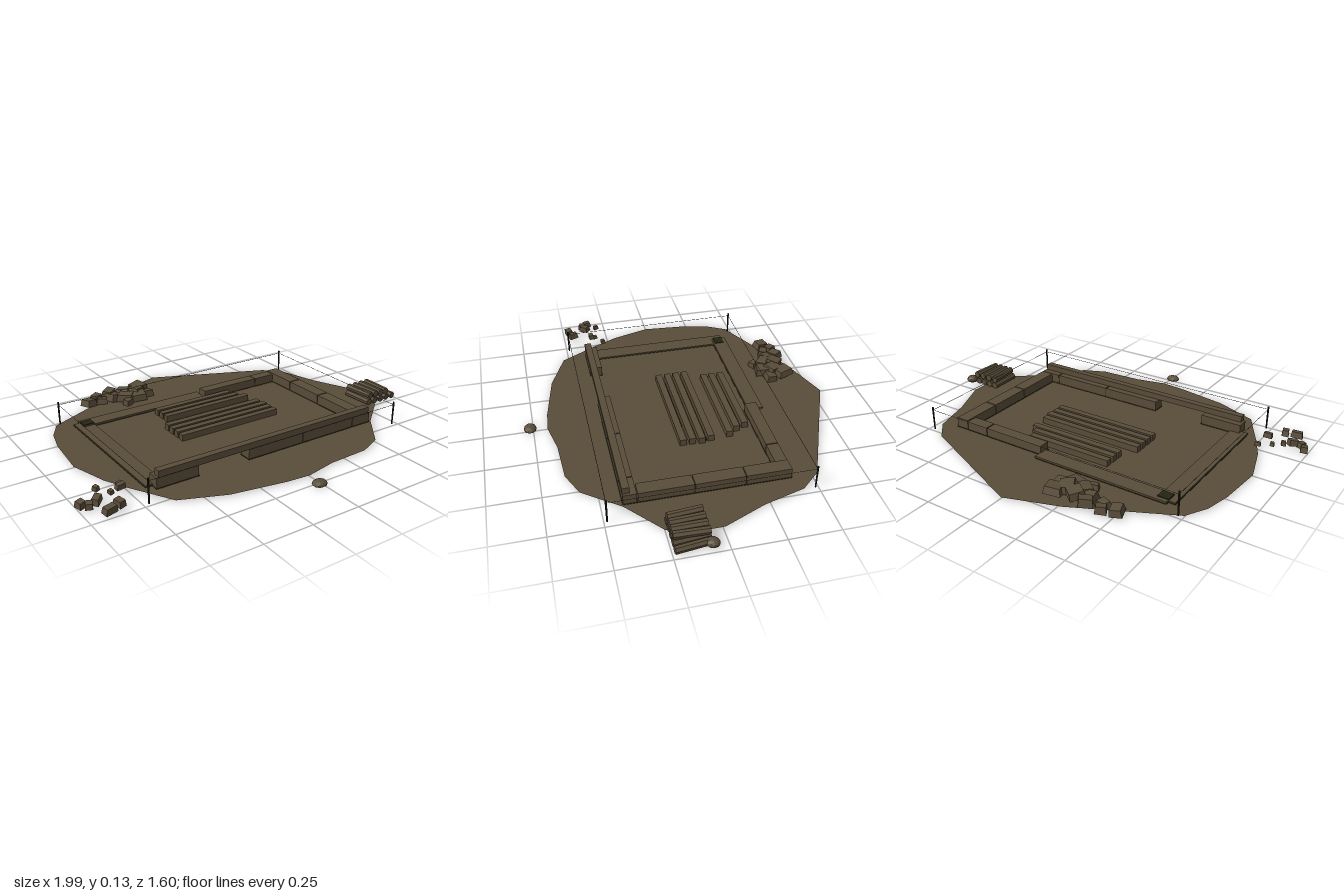
import * as THREE from 'three';

const earth = new THREE.MeshStandardMaterial({ color: 0x594c39, side: THREE.DoubleSide, flatShading: true });
earth.name = 'weatheredEarth';
const dark = new THREE.MeshStandardMaterial({ color: 0x232612, flatShading: true });
dark.name = 'darkMoss';
const cord = new THREE.MeshStandardMaterial({ color: 0x221e18, flatShading: true });
cord.name = 'darkCord';

export function createModel() {
  const model = new THREE.Group();
  model.name = 'excavatedFoundation';

  const group = (name) => {
    const g = new THREE.Group();
    g.name = name;
    model.add(g);
    return g;
  };
  const add = (parent, name, geo, mat, x = 0, y = 0, z = 0) => {
    const m = new THREE.Mesh(geo, mat);
    m.name = name;
    m.position.set(x, y, z);
    parent.add(m);
    return m;
  };
  // Box given by its limits on every axis
  const block = (parent, name, x0, x1, y0, y1, z0, z1, mat = earth) =>
    add(parent, name, new THREE.BoxGeometry(x1 - x0, y1 - y0, z1 - z0), mat,
      (x0 + x1) / 2, (y0 + y1) / 2, (z0 + z1) / 2);

  // Irregular sheet of bare ground
  const outline = [[0, -0.8], [0.63, -0.53], [0.72, -0.43], [0.78, -0.22], [0.87, -0.01], [0.87, 0.1],
    [0.83, 0.25], [0.65, 0.4], [0.58, 0.49], [0.51, 0.58], [0.385, 0.634], [0.165, 0.645], [0, 0.68],
    [-0.12, 0.67], [-0.4, 0.62], [-0.62, 0.53], [-0.74, 0.32], [-0.8, 0.2], [-0.86, 0], [-0.84, -0.24],
    [-0.81, -0.37], [-0.75, -0.475], [-0.27, -0.71]];
  const ground = new THREE.ShapeGeometry(new THREE.Shape(outline.map(([x, z]) => new THREE.Vector2(x, -z))));
  ground.rotateX(-Math.PI / 2);
  add(model, 'ground', ground, earth, 0, 0.003, 0);

  // Foundation walls on a dark bed, with a dark core showing in the joints
  const walls = group('foundationWalls');
  const bed = (x0, x1, z0, z1) =>
    block(walls, 'darkBed', x0 - 0.003, x1 + 0.003, 0, 0.005, z0 - 0.003, z1 + 0.003, dark);
  const core = (x0, x1, z0, z1, top) =>
    block(walls, 'darkCore', x0 + 0.004, x1 - 0.004, 0.004, top - 0.004, z0 + 0.004, z1 - 0.004, dark);

  bed(-0.64, -0.42, 0.335, 0.4);
  bed(-0.14, 0.635, 0.335, 0.4);
  core(-0.14, 0.635, 0.335, 0.4, 0.055);
  [[-0.64, -0.42], [-0.14, 0.184], [0.19, 0.514], [0.52, 0.635]].forEach(([a, b]) =>
    block(walls, 'frontWallBlock', a, b, 0.004, 0.055, 0.335, 0.4));

  bed(0.565, 0.635, -0.4, 0.333);
  core(0.565, 0.635, -0.4, 0.333, 0.055);
  [[-0.4, -0.18], [-0.174, 0.064], [0.07, 0.331]].forEach(([a, b]) =>
    block(walls, 'leftWallBlock', 0.565, 0.635, 0.004, 0.055, a, b));

  bed(0.085, 0.562, -0.4, -0.34);
  core(0.085, 0.562, -0.4, -0.34, 0.05);
  [[0.085, 0.429], [0.435, 0.561]].forEach(([a, b]) =>
    block(walls, 'backWallBlock', a, b, 0.004, 0.05, -0.4, -0.34));

  bed(-0.64, 0.082, -0.44, -0.36);
  block(walls, 'lowBackFooting', -0.64, 0.09, 0.004, 0.014, -0.44, -0.36);
  bed(-0.675, -0.585, -0.42, 0.36);
  block(walls, 'lowRightFooting', -0.675, -0.585, 0.004, 0.011, -0.42, 0.36);
  block(walls, 'cornerPatch', -0.642, -0.583, 0.01, 0.018, -0.42, -0.367, dark);
  block(walls, 'sillBeam', -0.63, 0.625, 0.058, 0.09, 0.366, 0.402);

  // Two sets of floor joists with dark soil in the gaps
  const joists = group('floorJoists');
  [[-0.25, 0.22, -0.3], [-0.25, 0.24, -0.25], [-0.25, 0.275, -0.205],
    [-0.3, 0.285, -0.105], [-0.3, 0.295, -0.057], [-0.3, 0.29, -0.01], [-0.3, 0.29, 0.038]]
    .forEach(([a, b, z]) => block(joists, 'joist', a, b, 0.001, 0.036, z - 0.017, z + 0.017));
  [[-0.22, 0.18, -0.276], [-0.22, 0.22, -0.228], [-0.25, 0.28, -0.081], [-0.16, 0.25, -0.033], [-0.25, 0.15, 0.014]]
    .forEach(([a, b, z]) => block(joists, 'darkGapStrip', a, b, 0.001, 0.008, z - 0.0035, z + 0.0035, dark));

  // Corner stakes with a string line
  const fence = group('stringLine');
  const corners = [[-0.725, -0.485], [0.72, -0.485], [0.72, 0.485], [-0.725, 0.485]];
  corners.forEach(([x, z], i) => {
    add(fence, 'stake', new THREE.CylinderGeometry(0.005, 0.004, 0.125, 6), cord, x, 0.0625, z);
    const [x2, z2] = corners[(i + 1) % 4];
    const path = new THREE.LineCurve3(new THREE.Vector3(x, 0.11, z), new THREE.Vector3(x2, 0.11, z2));
    add(fence, 'string', new THREE.TubeGeometry(path, 1, 0.0012, 4), cord);
  });

  // Stacked logs, slightly fanned out
  const logs = group('logPile');
  const log = (x, y, turn, length) => {
    const m = add(logs, 'log', new THREE.CylinderGeometry(0.019, 0.019, length, 7).rotateX(Math.PI / 2), earth, x, y, 0.155);
    m.rotation.y = turn;
  };
  for (let i = 0; i < 5; i++) log(0.792 + i * 0.042, 0.021, 0.02 + i * 0.025, 0.17);
  for (let i = 0; i < 4; i++) log(0.798 + i * 0.041, 0.057, 0.08 - i * 0.04, 0.165);

  // Squat chipped stone: box with a narrowed, shifted top
  const stone = (parent, name, x, y, z, w, h, d, turn, tilt) => {
    const geo = new THREE.BoxGeometry(w, h, d);
    const p = geo.attributes.position;
    for (let i = 0; i < p.count; i++) {
      if (p.getY(i) > 0) p.setXYZ(i, p.getX(i) * 0.85 + w * 0.04, p.getY(i), p.getZ(i) * 0.82);
    }
    geo.computeVertexNormals();
    add(parent, name, geo, earth, x, y, z).rotation.set(tilt, turn, tilt * 0.6);
  };

  // Rubble heap behind the wall
  const rubble = group('rubbleHeap');
  [[-0.5, 0.022, -0.62, 0.06, 0.035, 0.07, 0.3], [-0.44, 0.025, -0.655, 0.055, 0.035, 0.05, 0.5],
    [-0.425, 0.02, -0.61, 0.06, 0.03, 0.05, -0.4], [-0.36, 0.035, -0.655, 0.07, 0.04, 0.06, 0.6],
    [-0.345, 0.025, -0.61, 0.08, 0.04, 0.07, 0.2], [-0.3, 0.03, -0.57, 0.09, 0.04, 0.07, -0.7],
    [-0.285, 0.04, -0.625, 0.08, 0.035, 0.08, 0.9], [-0.235, 0.03, -0.545, 0.09, 0.035, 0.08, -0.2],
    [-0.225, 0.038, -0.6, 0.08, 0.035, 0.09, 0.5], [-0.185, 0.036, -0.645, 0.085, 0.035, 0.09, 0.3],
    [-0.17, 0.022, -0.57, 0.07, 0.035, 0.06, 0.1], [-0.31, 0.02, -0.515, 0.05, 0.03, 0.04, 0.4]]
    .forEach((b, i) => stone(rubble, 'rubbleBlock', ...b, i % 2 ? 0.1 : -0.1));

  // Scattered stones beside the plot
  const scatter = group('scatteredStones');
  [[-0.98, 0.016, 0.35, 0.038, 0.03, 0.042, 0.3], [-0.955, 0.018, 0.38, 0.035, 0.028, 0.04, -0.4],
    [-0.915, 0.026, 0.37, 0.055, 0.03, 0.038, 0.8], [-0.887, 0.042, 0.305, 0.024, 0.022, 0.028, 0.4],
    [-0.825, 0.012, 0.32, 0.022, 0.018, 0.027, 0.2], [-0.79, 0.042, 0.345, 0.045, 0.025, 0.028, 0.1],
    [-0.765, 0.014, 0.28, 0.03, 0.018, 0.024, 0.2], [-0.9, 0.023, 0.467, 0.06, 0.03, 0.04, 0.2],
    [-0.845, 0.028, 0.447, 0.036, 0.03, 0.05, 0.3]]
    .forEach((b) => stone(scatter, 'smallStone', ...b, 0.1));

  // Single rounded stones
  [[-0.015, 0.005, 0.765, 0.038, 0.021], [0.962, 0.022, 0.073, 0.034, 0.022]].forEach(([x, y, z, r, h], i) => {
    const geo = new THREE.IcosahedronGeometry(1, 1).scale(r, h, r * 0.85);
    const p = geo.attributes.position;
    for (let k = 0; k < p.count; k++) p.setY(k, Math.max(p.getY(k), -y));
    geo.computeVertexNormals();
    add(model, 'looseStone', geo, earth, x, y, z).rotation.y = i;
  });

  return model;
}
